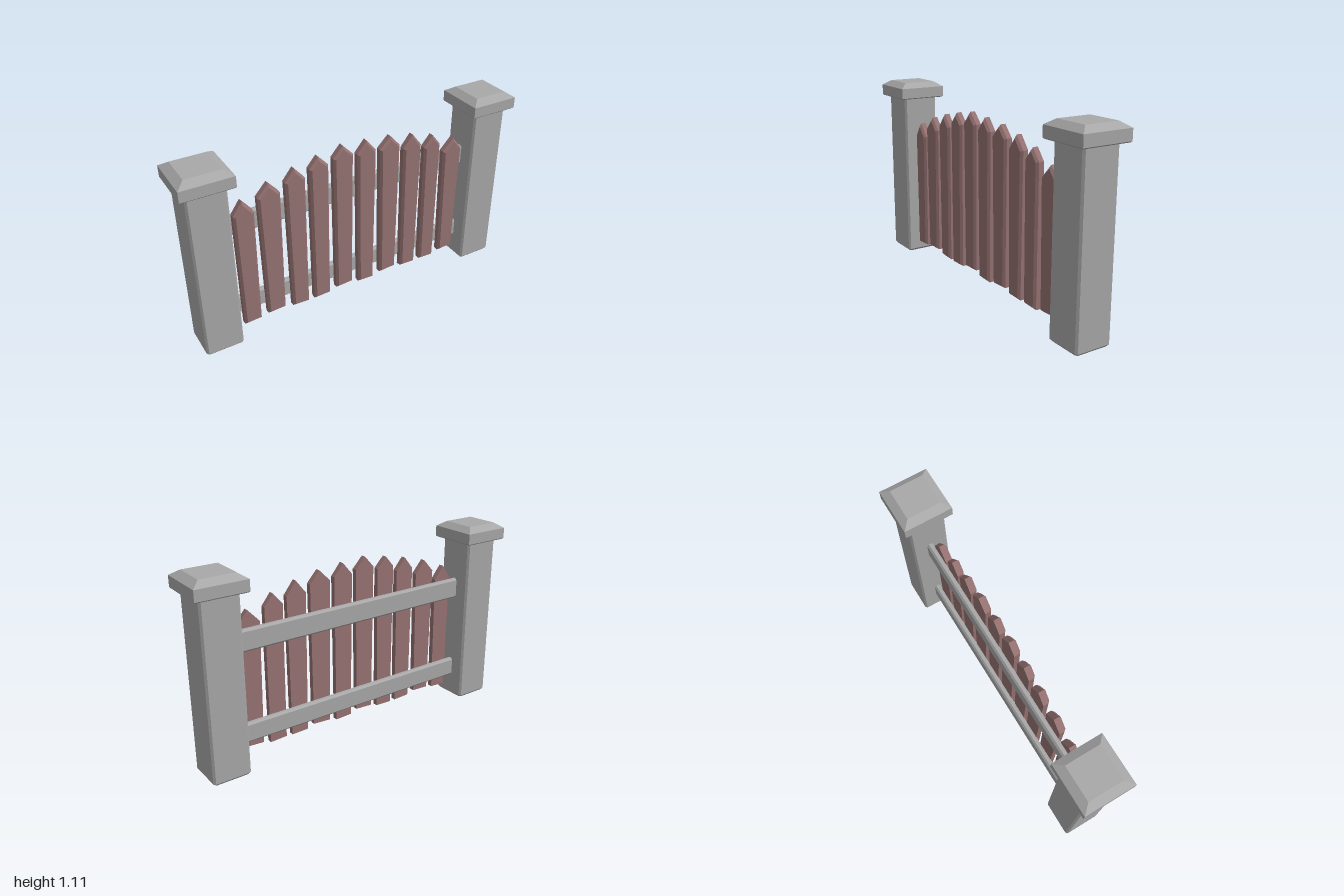
import * as THREE from 'three';

const stone = new THREE.MeshStandardMaterial({ color: 0xa8a8a8 });
stone.name = 'grey stone';
const wood = new THREE.MeshStandardMaterial({ color: 0x967272 });
wood.name = 'red brown wood';

// Flat-faced solid through convex rings of [u, v], each at a height along the axis.
// Rings run counter-clockwise seen from the positive end of the axis.
function loft(rings, axis) {
  const place = {
    x: (u, v, h) => [h, u, v],
    y: (u, v, h) => [v, h, u],
    z: (u, v, h) => [u, v, h],
  }[axis];
  const pts = rings.map(({ ring, h }) => ring.map(([u, v]) => place(u, v, h)));
  const n = pts[0].length, last = pts.length - 1, out = [];
  for (let k = 0; k < last; k++) {
    for (let i = 0; i < n; i++) {
      const j = (i + 1) % n, a = pts[k], b = pts[k + 1];
      out.push(...a[i], ...a[j], ...b[j], ...a[i], ...b[j], ...b[i]);
    }
  }
  for (let i = 1; i < n - 1; i++) {
    out.push(...pts[0][0], ...pts[0][i + 1], ...pts[0][i]);
    out.push(...pts[last][0], ...pts[last][i], ...pts[last][i + 1]);
  }
  const geo = new THREE.BufferGeometry();
  geo.setAttribute('position', new THREE.Float32BufferAttribute(out, 3));
  geo.computeVertexNormals();
  return geo;
}

// Rectangle of half sizes a, b
const rect = (a, b) => [[a, -b], [a, b], [-a, b], [-a, -b]];

// Rectangle with its corners cut by c
const cutRect = (a, b, c) => [
  [a, c - b], [a, b - c], [a - c, b], [c - a, b],
  [-a, b - c], [-a, c - b], [c - a, -b], [a - c, -b],
];

function add(parent, name, geometry, material, x = 0, y = 0, z = 0) {
  const mesh = new THREE.Mesh(geometry, material);
  mesh.name = name;
  mesh.position.set(x, y, z);
  parent.add(mesh);
}

// Pickets: bottom left x, bottom right x, bottom left y, bottom right y,
// shoulder left x, shoulder right x, shoulder y, tip x, tip y
const pickets = [
  [-0.711, -0.610, 0.070, 0.075, -0.717, -0.602, 0.786, -0.663, 0.863],
  [-0.567, -0.460, 0.086, 0.090, -0.578, -0.450, 0.850, -0.513, 0.922],
  [-0.412, -0.310, 0.075, 0.070, -0.420, -0.305, 0.893, -0.364, 0.963],
  [-0.273, -0.171, 0.070, 0.073, -0.278, -0.166, 0.930, -0.225, 0.992],
  [-0.128, -0.021, 0.090, 0.095, -0.136, -0.016, 0.952, -0.078, 1.017],
  [0.021, 0.123, 0.075, 0.070, 0.011, 0.128, 0.936, 0.070, 1.006],
  [0.171, 0.278, 0.086, 0.092, 0.155, 0.283, 0.925, 0.222, 0.992],
  [0.320, 0.422, 0.075, 0.072, 0.310, 0.428, 0.888, 0.369, 0.963],
  [0.460, 0.561, 0.075, 0.070, 0.452, 0.561, 0.856, 0.508, 0.922],
  [0.604, 0.706, 0.086, 0.092, 0.590, 0.717, 0.791, 0.658, 0.863],
];

// Picket outline, drawn in by d for the bevelled front
const picketRing = ([bl, br, yl, yr, sl, sr, sy, tx, ty], d) => [
  [bl + d, yl + d], [br - d, yr + d], [sr - d, sy - d * 0.4],
  [tx, ty - d * 1.6], [sl + d, sy - d * 0.4],
];

export function createModel() {
  const fence = new THREE.Group();
  fence.name = 'fence';

  // Stone posts with sloped caps
  const postGeo = loft([
    { ring: cutRect(0.097, 0.097, 0.01), h: 0 },
    { ring: cutRect(0.108, 0.108, 0.011), h: 0.013 },
    { ring: cutRect(0.108, 0.108, 0.011), h: 1.012 },
  ], 'y');
  const capGeo = loft([
    { ring: rect(0.137, 0.137), h: 1.01 },
    { ring: rect(0.143, 0.143), h: 1.016 },
    { ring: rect(0.143, 0.143), h: 1.077 },
    { ring: rect(0.098, 0.098), h: 1.107 },
  ], 'y');
  for (const [side, s] of [['left', 1], ['right', -1]]) {
    add(fence, side + 'Post', postGeo, stone, s * 0.857);
    add(fence, side + 'PostCap', capGeo, stone, s * 0.857);
  }

  // Bevelled rails running between the posts
  for (const [name, y, half] of [['lowerRail', 0.19, 0.057], ['upperRail', 0.714, 0.061]]) {
    const ring = cutRect(half, 0.018, 0.011);
    add(fence, name, loft([{ ring, h: -0.76 }, { ring, h: 0.76 }], 'x'), stone, 0, y, -0.003);
  }

  // Pointed pickets, bevelled on the front
  pickets.forEach((p, i) => {
    const geo = loft([
      { ring: picketRing(p, 0), h: 0.013 },
      { ring: picketRing(p, 0), h: 0.043 },
      { ring: picketRing(p, 0.012), h: 0.056 },
    ], 'z');
    add(fence, 'picket' + (i + 1), geo, wood);
  });

  return fence;
}
